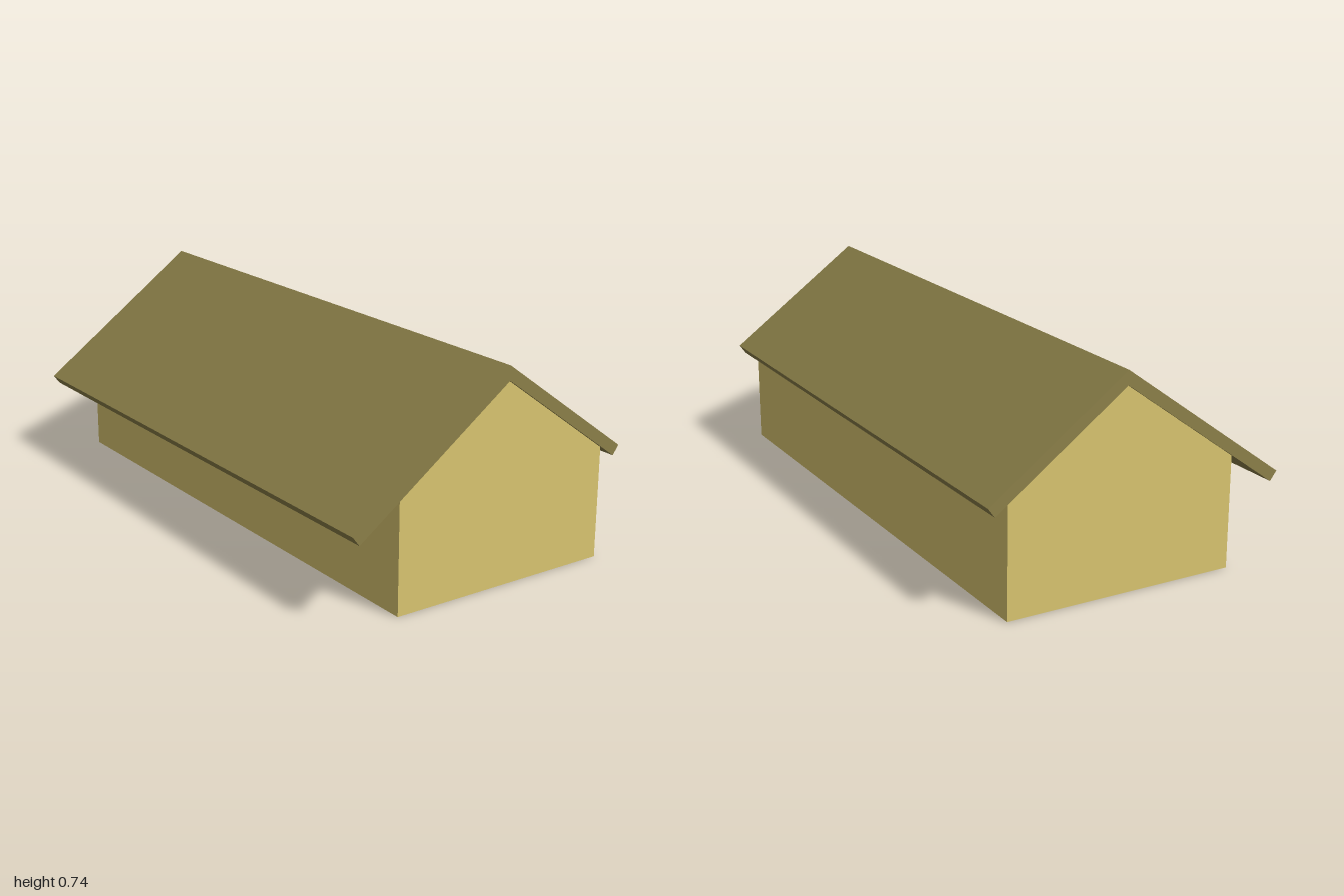
import * as THREE from 'three';

const wallMat = new THREE.MeshStandardMaterial({ color: 0xd9c570 });
const roofMat = new THREE.MeshStandardMaterial({ color: 0x8c8049 });
const floorMat = new THREE.MeshStandardMaterial({ color: 0x808080 });

// Extrude an x/y outline along z, from zStart
function prism(name, points, zStart, depth, material) {
  const shape = new THREE.Shape(points.map(([x, y]) => new THREE.Vector2(x, y)));
  const geometry = new THREE.ExtrudeGeometry(shape, { depth, bevelEnabled: false });
  geometry.translate(0, 0, zStart);
  const mesh = new THREE.Mesh(geometry, material);
  mesh.name = name;
  return mesh;
}

export function createModel() {
  const group = new THREE.Group();
  group.name = 'house';

  const left = 0.465, right = -0.36, end = 0.99, thick = 0.04;
  const ridgeX = 0.052, ridgeY = 0.686, slope = 0.725;
  const under = (x) => ridgeY - slope * Math.abs(x - ridgeX); // roof underside height

  // Gable end walls
  const gable = [[right, 0], [left, 0], [left, under(left)], [ridgeX, ridgeY], [right, under(right)]];
  group.add(prism('frontWall', gable, end - thick, thick, wallMat));
  group.add(prism('backWall', gable, -end, thick, wallMat));

  // Long side walls, their tops cut to the roof pitch
  for (const [name, outer, inner] of [['leftWall', left, left - thick], ['rightWall', right, right + thick]]) {
    const section = [[outer, 0], [inner, 0], [inner, under(inner)], [outer, under(outer)]];
    group.add(prism(name, section, -end + thick, 2 * (end - thick), wallMat));
  }

  // Floor slab between the walls
  const floor = new THREE.Mesh(
    new THREE.BoxGeometry(left - right - 2 * thick, 0.04, 2 * (end - thick)), floorMat);
  floor.position.set((left + right) / 2, 0.02, 0);
  floor.name = 'floor';
  group.add(floor);

  // Two roof slopes meeting at the ridge, the right one reaching lower
  const top = [ridgeX, 0.735], bottom = [ridgeX, ridgeY];
  group.add(prism('leftRoof', [bottom, [0.514, 0.351], [0.537, 0.383], top], -1, 2, roofMat));
  group.add(prism('rightRoof', [top, [-0.539, 0.307], [-0.515, 0.275], bottom], -1, 2, roofMat));

  return group;
}
